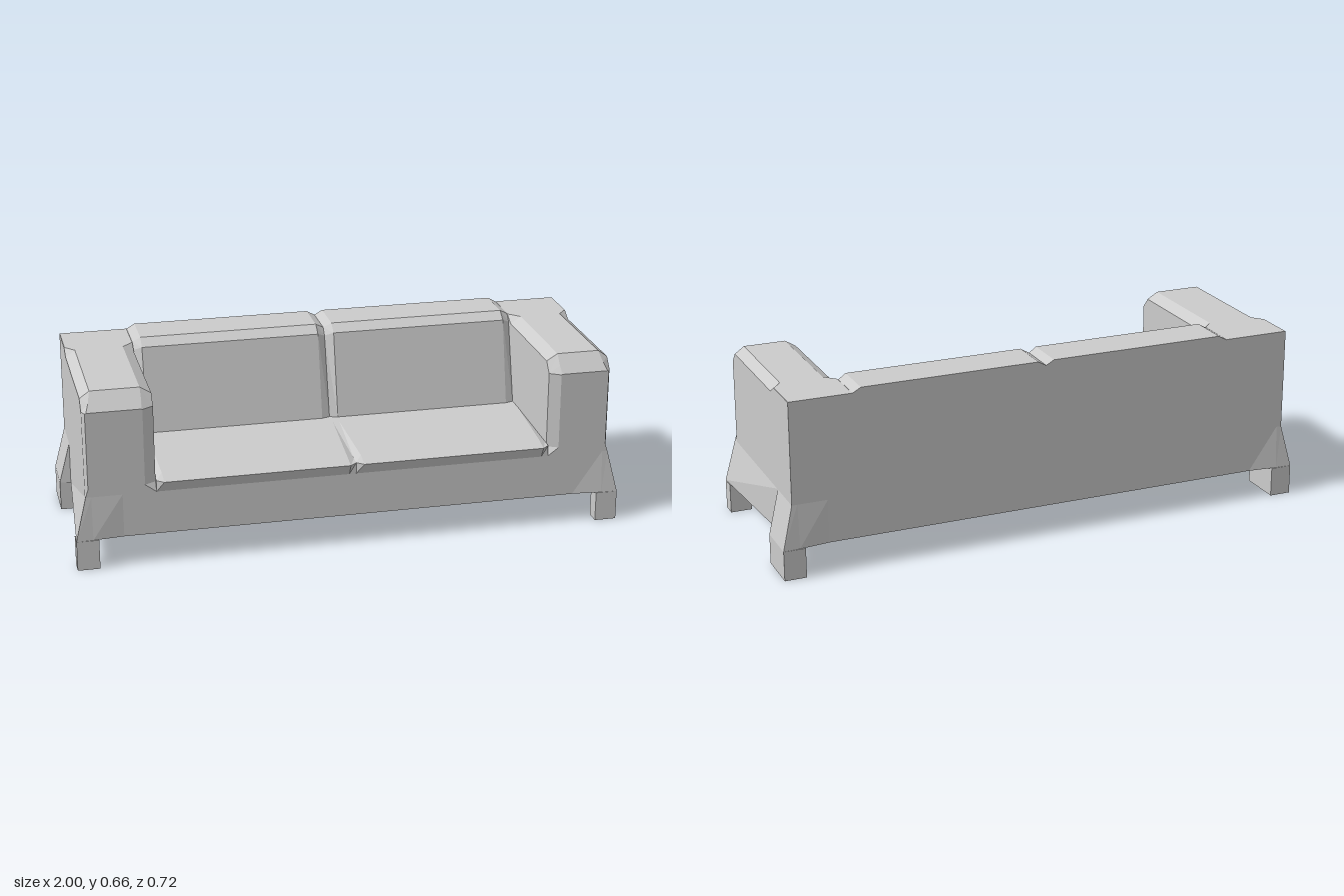
import * as THREE from 'three';

const material = new THREE.MeshStandardMaterial({ color: 0xcccccc, flatShading: true });

// Skin a closed solid through rings of [u, v] points; place(u, v, t) maps them to space.
function loft(name, sections, place) {
  const rings = sections.map(([t, pts]) => pts.map(([u, v]) => new THREE.Vector3(...place(u, v, t))));
  const n = rings[0].length;
  const tris = [];
  for (let r = 0; r < rings.length - 1; r++) {
    for (let i = 0; i < n; i++) {
      const j = (i + 1) % n;
      const [a, b, c, d] = [rings[r][i], rings[r][j], rings[r + 1][j], rings[r + 1][i]];
      tris.push([a, b, c], [a, c, d]);
    }
  }
  // End caps: triangulate each outline, oriented to match the sides
  [0, rings.length - 1].forEach((r, end) => {
    const outline = sections[r][1].map(([u, v]) => new THREE.Vector2(u, v));
    const ccw = THREE.ShapeUtils.area(outline) > 0;
    for (const f of THREE.ShapeUtils.triangulateShape(outline, [])) {
      const t = f.map((i) => rings[r][i]);
      const p = f.map((i) => outline[i]);
      const same = (THREE.ShapeUtils.area(p) > 0) === ccw;
      tris.push(same === (end === 1) ? t : [t[0], t[2], t[1]]);
    }
  });
  // Turn everything outward if the solid came out inverted
  const cross = new THREE.Vector3();
  const volume = tris.reduce((s, [a, b, c]) => s + a.dot(cross.crossVectors(b, c)), 0);
  const pos = [];
  for (const [a, b, c] of tris) {
    for (const p of volume < 0 ? [a, c, b] : [a, b, c]) pos.push(p.x, p.y, p.z);
  }
  const geo = new THREE.BufferGeometry();
  geo.setAttribute('position', new THREE.Float32BufferAttribute(pos, 3));
  geo.computeVertexNormals();
  const mesh = new THREE.Mesh(geo, material);
  mesh.name = name;
  return mesh;
}

// Base: plain rectangle above, flaring out towards the legs below
function makeBase() {
  const mirror = (half) => [...half, ...half.map(([x, z]) => [-x, z]).reverse()];
  const bottom = mirror([[0.83, 0.337], [0.94, 0.347], [1, 0.35], [0.96, -0.187],
    [1, -0.196], [1, -0.36], [0.94, -0.357], [0.83, -0.345]]);
  const top = mirror([[0.83, 0.337], [0.94, 0.337], [0.96, 0.337], [0.96, -0.18],
    [0.96, -0.187], [0.96, -0.345], [0.94, -0.345], [0.83, -0.345]]);
  return loft('base', [[0.11, bottom], [0.27, top]], (x, z, y) => [x, y, z]);
}

// Arm: front-to-back sections with a bevelled front and top, square at the rear
function makeArm(name, side, inner) {
  const outer = 0.96;
  const section = (inX, outX, shoulder, top, topIn, topOut) => [
    [inner, 0.27], [inX, 0.3], [inX, shoulder], [topIn, top],
    [topOut, top], [outX, shoulder], [outX, 0.3], [outer, 0.27]];
  const padded = section(inner, outer, 0.62, 0.645, inner + 0.04, 0.925);
  return loft(name, [
    [0.337, section(inner + 0.04, 0.95, 0.582, 0.584, inner + 0.045, 0.945)],
    [0.315, section(inner, outer, 0.583, 0.609, inner + 0.04, 0.935)],
    [0.283, padded],
    [-0.147, padded],
    [-0.187, section(inner, outer, 0.644, 0.645, inner + 0.001, 0.959)],
    [-0.345, section(inner, outer, 0.644, 0.645, inner + 0.001, 0.959)],
  ], (x, y, z) => [side * x, y, z]);
}

// Cushion: side profile [z, y] run along x, with reduced profiles at the ends
function makeCushion(name, x0, x1, bevel, edge, full) {
  return loft(name, [[x0, edge], [x0 + bevel, full], [x1 - bevel, full], [x1, edge]],
    (z, y, x) => [x, y, z]);
}

export function createModel() {
  const model = new THREE.Group();
  model.name = 'sofa';

  model.add(makeBase());
  model.add(makeArm('leftArm', 1, 0.73), makeArm('rightArm', -1, 0.71));

  // Two seat and two back cushions, parted by a shallow groove
  const seatFull = [[0.337, 0.27], [0.36, 0.312], [0.3, 0.325], [-0.03, 0.325], [-0.2, 0.325], [-0.2, 0.27]];
  const seatEdge = [[0.337, 0.27], [0.338, 0.312], [0.3, 0.313], [-0.03, 0.325], [-0.2, 0.325], [-0.2, 0.27]];
  const backFull = [[-0.345, 0.27], [-0.345, 0.662], [-0.187, 0.662], [-0.15, 0.635], [-0.08, 0.325], [-0.08, 0.27]];
  const backEdge = [[-0.345, 0.27], [-0.345, 0.645], [-0.195, 0.645], [-0.172, 0.62], [-0.09, 0.325], [-0.09, 0.27]];
  for (const [label, x0, x1] of [['right', -0.71, 0.01], ['left', 0.01, 0.73]]) {
    model.add(makeCushion(label + 'SeatCushion', x0, x1, 0.025, seatEdge, seatFull));
    model.add(makeCushion(label + 'BackCushion', x0, x1, 0.03, backEdge, backFull));
  }

  // Legs: slim at the front, deep at the rear
  for (const side of [1, -1]) {
    for (const [label, z0, z1] of [['Front', 0.295, 0.35], ['Rear', -0.36, -0.196]]) {
      const leg = new THREE.Mesh(new THREE.BoxGeometry(0.08, 0.11, z1 - z0), material);
      leg.position.set(side * 0.96, 0.055, (z0 + z1) / 2);
      leg.name = (side > 0 ? 'left' : 'right') + label + 'Leg';
      model.add(leg);
    }
  }
  return model;
}
